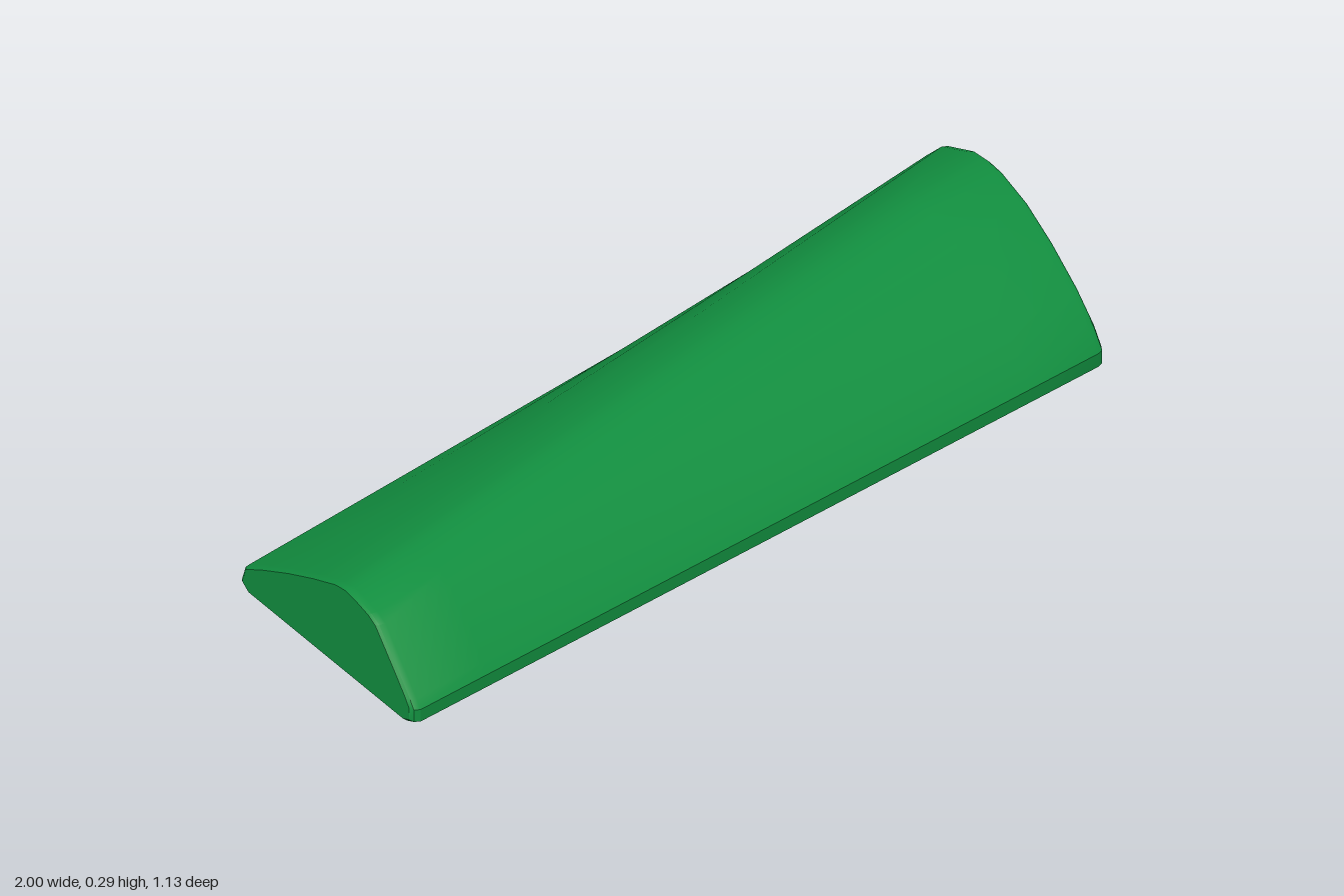
import * as THREE from 'three';
import { toCreasedNormals } from 'three/addons/utils/BufferGeometryUtils.js';

// End profiles as [z, y], from the front foot over the crest to the back foot
const leftEnd = [
  [0.17, 0], [0.2, 0.012], [0.2, 0.045], [0.17, 0.085], [0.1, 0.145], [0, 0.21], [-0.1, 0.26], [-0.2, 0.287],
  [-0.25, 0.29], [-0.3, 0.285], [-0.4, 0.245], [-0.46, 0.19], [-0.52, 0.115], [-0.565, 0.05], [-0.567, 0.015], [-0.54, 0],
];
const rightEnd = [
  [0.54, 0], [0.565, 0.01], [0.565, 0.04], [0.55, 0.06], [0.51, 0.103], [0.43, 0.185], [0.4, 0.198], [0.35, 0.208],
  [0.31, 0.213], [0.27, 0.207], [0.18, 0.175], [0.08, 0.135], [-0.02, 0.09], [-0.09, 0.055], [-0.105, 0.015], [-0.08, 0],
];

// Stations along the length: [x, scale]; the scale rounds off the end edges
const stations = [[-1, 0.955], [-0.994, 0.985], [-0.98, 1]];
for (let i = 1; i < 10; i++) stations.push([-0.98 + 0.196 * i, 1]);
stations.push([0.98, 1], [0.994, 0.985], [1, 0.955]);

function loftGeometry() {
  const n = leftEnd.length, positions = [], index = [];
  const centre = (t) => [THREE.MathUtils.lerp(0.25, -0.19, t), 0.1];

  // Blend one end profile into the other
  for (const [x, s] of stations) {
    const t = THREE.MathUtils.clamp((x + 0.98) / 1.96, 0, 1);
    const [cz, cy] = centre(t);
    for (let j = 0; j < n; j++) {
      const z = THREE.MathUtils.lerp(rightEnd[j][0], leftEnd[j][0], t);
      const y = THREE.MathUtils.lerp(rightEnd[j][1], leftEnd[j][1], t);
      positions.push(x, cy + (y - cy) * s, cz + (z - cz) * s);
    }
  }

  // Skin, including the flat underside
  for (let i = 0; i < stations.length - 1; i++) {
    for (let j = 0; j < n; j++) {
      const k = (j + 1) % n;
      const a = i * n + j, b = i * n + k, c = a + n, d = b + n;
      index.push(a, c, d, a, d, b);
    }
  }

  // End faces
  const last = (stations.length - 1) * n, mid = positions.length / 3;
  const [rz, ry] = centre(0), [lz, ly] = centre(1);
  positions.push(-1, ry, rz, 1, ly, lz);
  for (let j = 0; j < n; j++) {
    const k = (j + 1) % n;
    index.push(mid, j, k, mid + 1, last + k, last + j);
  }

  const geometry = new THREE.BufferGeometry();
  geometry.setAttribute('position', new THREE.Float32BufferAttribute(positions, 3));
  geometry.setIndex(index);
  return toCreasedNormals(geometry, 0.5);
}

export function createModel() {
  const group = new THREE.Group();
  group.name = 'taperedArchBlock';
  const body = new THREE.Mesh(loftGeometry(), new THREE.MeshStandardMaterial({ color: 0x129040 }));
  body.name = 'body';
  group.add(body);
  return group;
}
